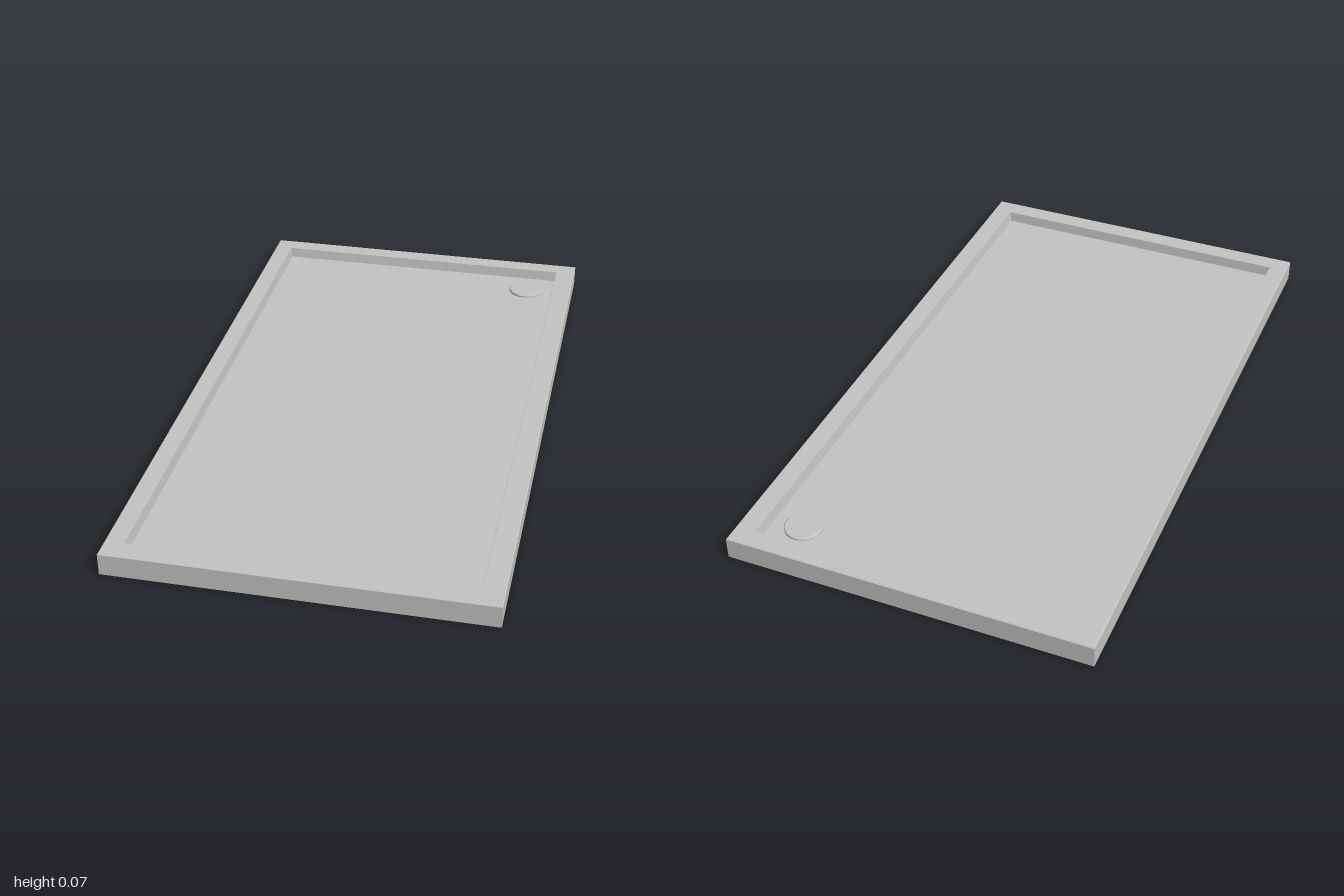
import * as THREE from 'three';

// Joins rectangular loops [x0, x1, z0, z1, y] into a flat-faced sheet, closing the last loop
function rectSheet(loops) {
  const corners = loops.map(([x0, x1, z0, z1, y]) => [
    [x0, y, z1], [x1, y, z1], [x1, y, z0], [x0, y, z0],
  ]);
  const pos = [];
  const quad = (a, b, c, d) => pos.push(...a, ...b, ...c, ...a, ...c, ...d);
  for (let k = 0; k + 1 < corners.length; k++) {
    const a = corners[k], b = corners[k + 1];
    for (let i = 0; i < 4; i++) {
      const j = (i + 1) % 4;
      quad(a[i], a[j], b[j], b[i]);
    }
  }
  quad(...corners[corners.length - 1]);
  const geo = new THREE.BufferGeometry();
  geo.setAttribute('position', new THREE.Float32BufferAttribute(pos, 3));
  geo.computeVertexNormals();
  return geo;
}

export function createModel() {
  const group = new THREE.Group();
  const enamel = new THREE.MeshStandardMaterial({ color: 0xc4c4c2, side: THREE.DoubleSide });
  enamel.name = 'light grey enamel';

  // Thin shell, open underneath: skirt, small bevel, rim, basin walls and floor
  const floorY = 0.037;
  const tray = new THREE.Mesh(rectSheet([
    [-0.56, 0.56, -1, 1, 0],
    [-0.56, 0.56, -1, 1, 0.067],
    [-0.557, 0.557, -0.997, 0.997, 0.07],
    [-0.502, 0.497, -0.941, 0.937, 0.07],
    [-0.497, 0.492, -0.936, 0.932, floorY],
  ]), enamel);
  tray.name = 'tray';
  group.add(tray);

  // Round drain cover, standing slightly proud of the floor
  const profile = [
    [0.058, -0.001], [0.058, 0.005], [0.055, 0.008], [0, 0.009],
  ].map(([r, y]) => new THREE.Vector2(r, y));
  const drainGeo = new THREE.LatheGeometry(profile, 40).toNonIndexed();
  drainGeo.computeVertexNormals();
  const drain = new THREE.Mesh(drainGeo, enamel);
  drain.name = 'drainCover';
  drain.position.set(0.397, floorY, -0.843);
  group.add(drain);

  return group;
}
